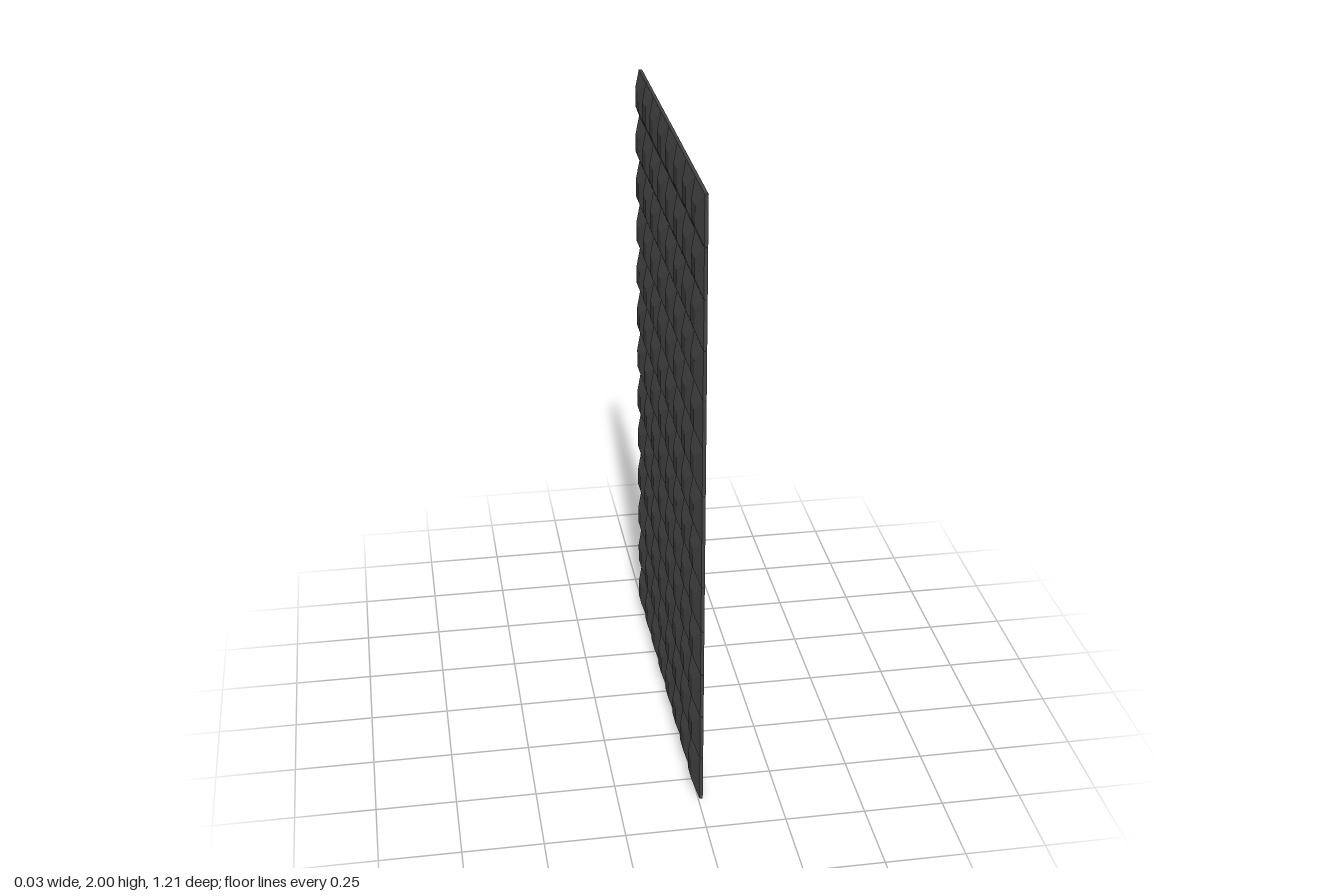
import * as THREE from 'three';

const ROWS = 13, COLS = 8;
const PITCH_Y = 2 / ROWS, PITCH_Z = 1.212 / COLS;
const GAP = 0.0008;

// Open-backed tray: square rim, sloping sides and a flat square face towards -x
function trayGeometry() {
  const half = 0.5 * Math.SQRT2; // corner radius of a unit square
  const profile = [
    [0, -0.0145], [half * 0.4, -0.0145], [half, 0.004], [half, 0.0145],
  ].map(([r, d]) => new THREE.Vector2(r, d));
  const geometry = new THREE.LatheGeometry(profile, 4)
    .rotateY(Math.PI / 4)
    .rotateZ(-Math.PI / 2)
    .scale(1, PITCH_Y - GAP, PITCH_Z - GAP)
    .toNonIndexed();
  geometry.computeVertexNormals();
  return geometry;
}

export function createModel() {
  const panel = new THREE.Group();
  panel.name = 'tilePanel';
  const geometry = trayGeometry();
  const material = new THREE.MeshStandardMaterial({
    color: 0x444444, flatShading: true, side: THREE.DoubleSide,
  });

  // Grid of identical trays
  for (let row = 0; row < ROWS; row++) {
    for (let col = 0; col < COLS; col++) {
      const tile = new THREE.Mesh(geometry, material);
      tile.name = `tileRow${row + 1}Column${col + 1}`;
      tile.position.set(0, (row + 0.5) * PITCH_Y, (col - (COLS - 1) / 2) * PITCH_Z);
      panel.add(tile);
    }
  }
  return panel;
}
